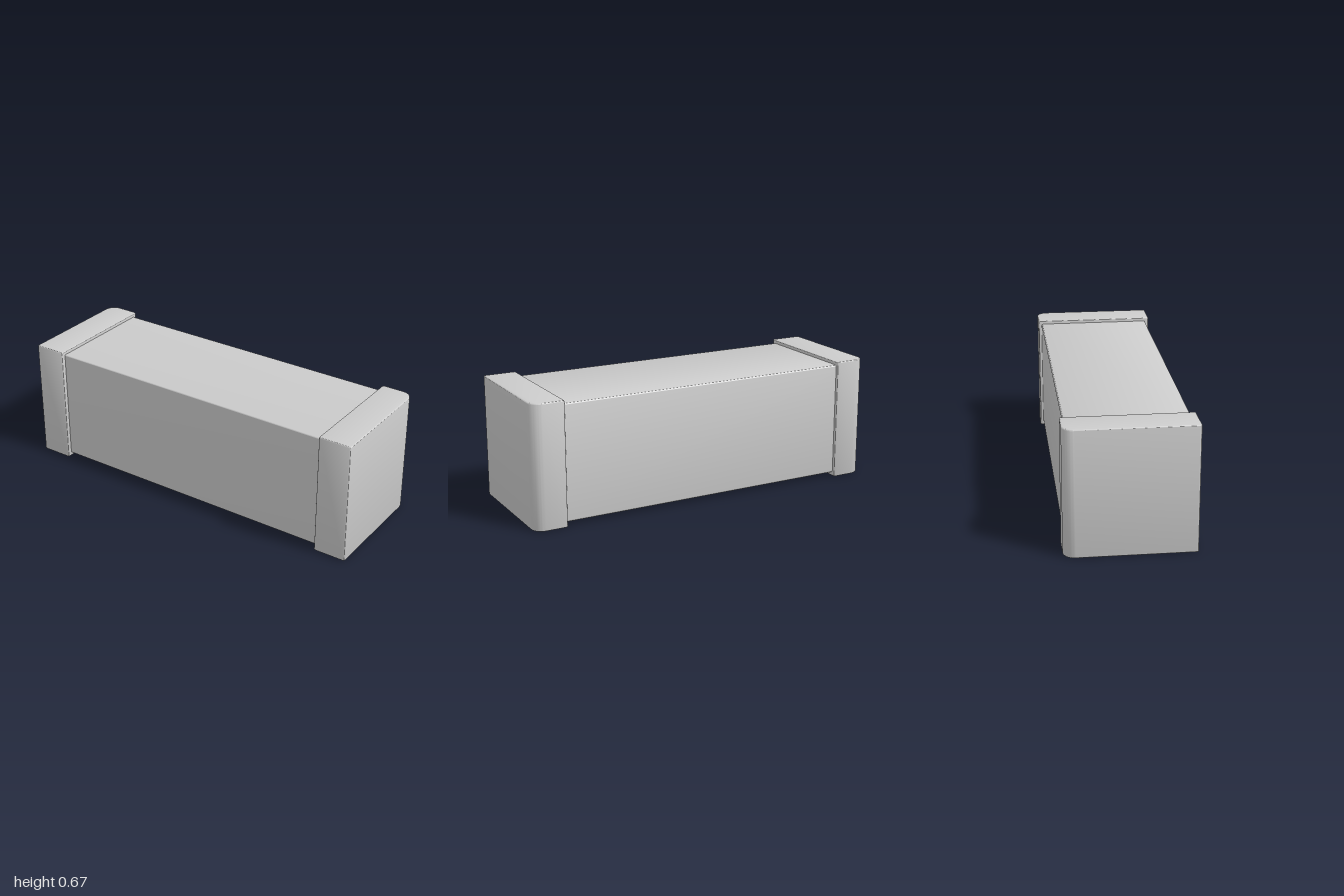
import * as THREE from 'three';
import { toCreasedNormals } from 'three/addons/utils/BufferGeometryUtils.js';

const material = new THREE.MeshStandardMaterial({ color: 0xcccccc });

// Rectangle with its own radius at each corner:
// [min x/min y, max x/min y, max x/max y, min x/max y]
function roundedRect(x0, y0, x1, y1, [a, b, c, d]) {
  const s = new THREE.Shape();
  s.moveTo(x0 + a, y0);
  s.lineTo(x1 - b, y0);
  s.absarc(x1 - b, y0 + b, b, -Math.PI / 2, 0);
  s.lineTo(x1, y1 - c);
  s.absarc(x1 - c, y1 - c, c, 0, Math.PI / 2);
  s.lineTo(x0 + d, y1);
  s.absarc(x0 + d, y1 - d, d, Math.PI / 2, Math.PI);
  s.lineTo(x0, y0 + a);
  s.absarc(x0 + a, y0 + a, a, Math.PI, Math.PI * 1.5);
  return s;
}

function addMesh(group, name, geometry) {
  const mesh = new THREE.Mesh(toCreasedNormals(geometry, 0.6), material);
  mesh.name = name;
  group.add(mesh);
}

export function createModel() {
  const model = new THREE.Group();
  model.name = 'cappedBar';

  // Main bar: cross-section run along x, rear edges slightly softer
  const section = roundedRect(-0.31, 0.02, 0.315, 0.647, [0.006, 0.012, 0.012, 0.006]);
  const bar = new THREE.ExtrudeGeometry(section, { depth: 1.8, bevelEnabled: false, curveSegments: 5 });
  bar.translate(0, 0, -0.9).rotateY(Math.PI / 2);
  addMesh(model, 'bar', bar);

  // End caps: plan outline run upwards, outer rear corner rounded
  const bevel = 0.006, height = 0.667;
  for (const side of [1, -1]) {
    const big = 0.055, small = 0.004;
    const inner = 0.82 + bevel, outer = 1 - bevel;
    const zBack = -0.333 + bevel, zFront = 0.333 - bevel;
    const plan = side > 0
      ? roundedRect(inner, zBack, outer, zFront, [small, big, small, small])
      : roundedRect(-outer, zBack, -inner, zFront, [big, small, small, small]);
    const cap = new THREE.ExtrudeGeometry(plan, {
      depth: height - 2 * bevel, bevelThickness: bevel, bevelSize: bevel,
      bevelSegments: 3, curveSegments: 8,
    });
    cap.rotateX(Math.PI / 2).translate(0, height - bevel, 0);
    addMesh(model, side > 0 ? 'leftEndCap' : 'rightEndCap', cap);
  }
  return model;
}
